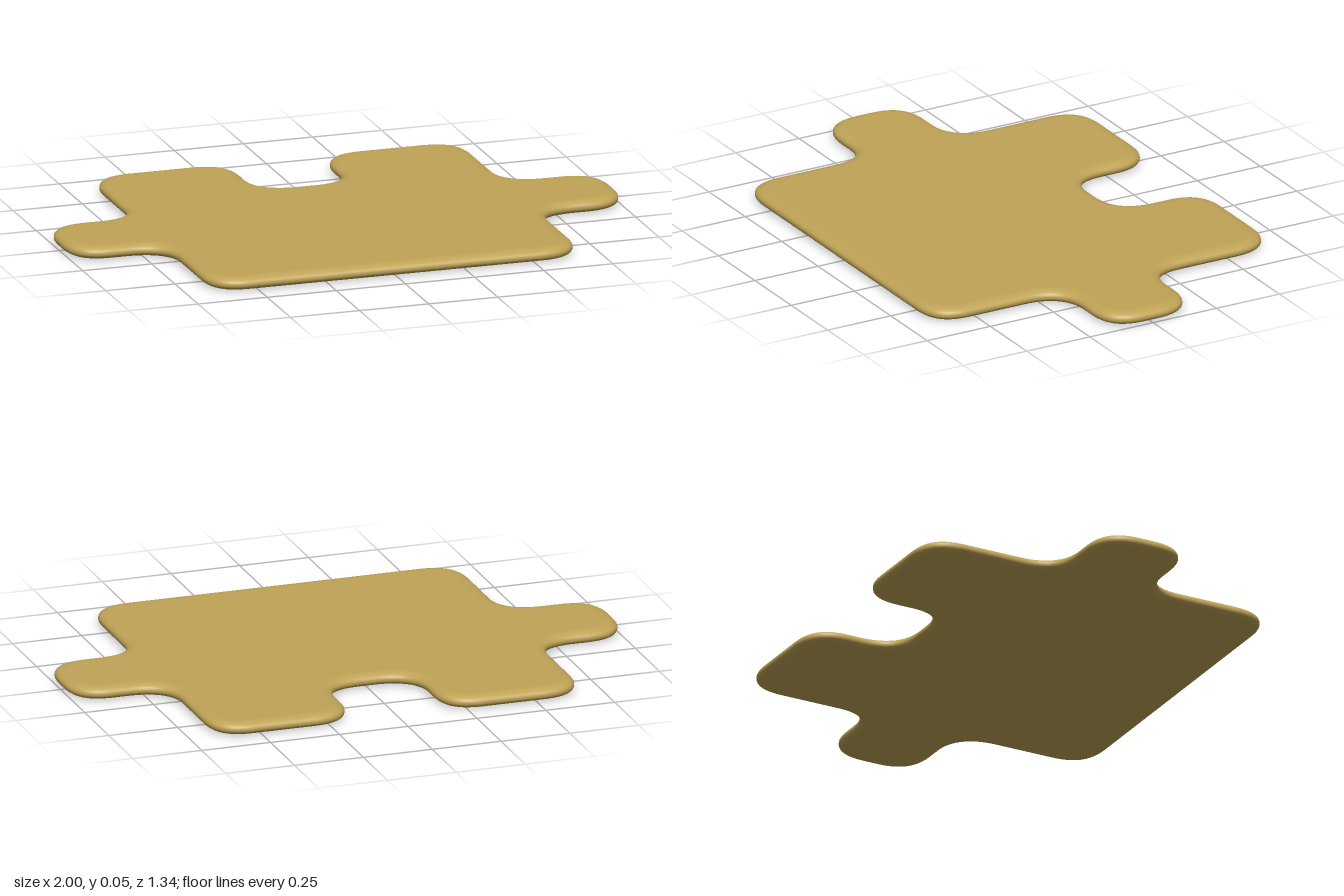
import * as THREE from 'three';
import { mergeVertices } from 'three/addons/utils/BufferGeometryUtils.js';

const HEIGHT = 0.048;
const CORNER = 0.14; // reach of each rounded corner
const EDGE = 0.045; // width of the pillowed rim

// Closed outline with every corner, inner or outer, softened by a curve
function roundedOutline(points, reach) {
  const corners = points.map(([x, y]) => new THREE.Vector2(x, y));
  const n = corners.length;
  const shape = new THREE.Shape();
  corners.forEach((c, i) => {
    const toward = (o) => c.clone().add(o.clone().sub(c).setLength(reach));
    const start = toward(corners[(i + n - 1) % n]);
    const end = toward(corners[(i + 1) % n]);
    if (i === 0) shape.moveTo(start.x, start.y);
    else shape.lineTo(start.x, start.y);
    shape.quadraticCurveTo(c.x, c.y, end.x, end.y);
  });
  shape.closePath();
  return shape;
}

export function createModel() {
  const group = new THREE.Group();
  group.name = 'puzzlePiece';

  // Right half of the outline, front to back: side tab, then back notch
  const half = [
    [0.667, -0.667], [0.667, -0.167], [1, -0.167], [1, 0.167],
    [0.667, 0.167], [0.667, 0.67], [0.167, 0.67], [0.167, 0.337],
  ];
  const mirrored = half.map(([x, y]) => [-x, y]).reverse();
  const shape = roundedOutline([...half, ...mirrored], CORNER);

  // Thin plate with an elliptical rim
  const bevel = HEIGHT / 2 - 0.002;
  let geometry = new THREE.ExtrudeGeometry(shape, {
    depth: HEIGHT - 2 * bevel,
    bevelThickness: bevel,
    bevelSize: EDGE,
    bevelOffset: -EDGE,
    bevelSegments: 8,
    curveSegments: 14,
  });
  geometry.translate(0, 0, bevel);
  geometry.rotateX(-Math.PI / 2);

  // Weld for smooth shading across rim and faces
  geometry.deleteAttribute('uv');
  geometry.deleteAttribute('normal');
  geometry = mergeVertices(geometry, 1e-5);
  geometry.computeVertexNormals();

  const plate = new THREE.Mesh(geometry, new THREE.MeshStandardMaterial({ color: 0xbfa356 }));
  plate.name = 'plate';
  group.add(plate);
  return group;
}
